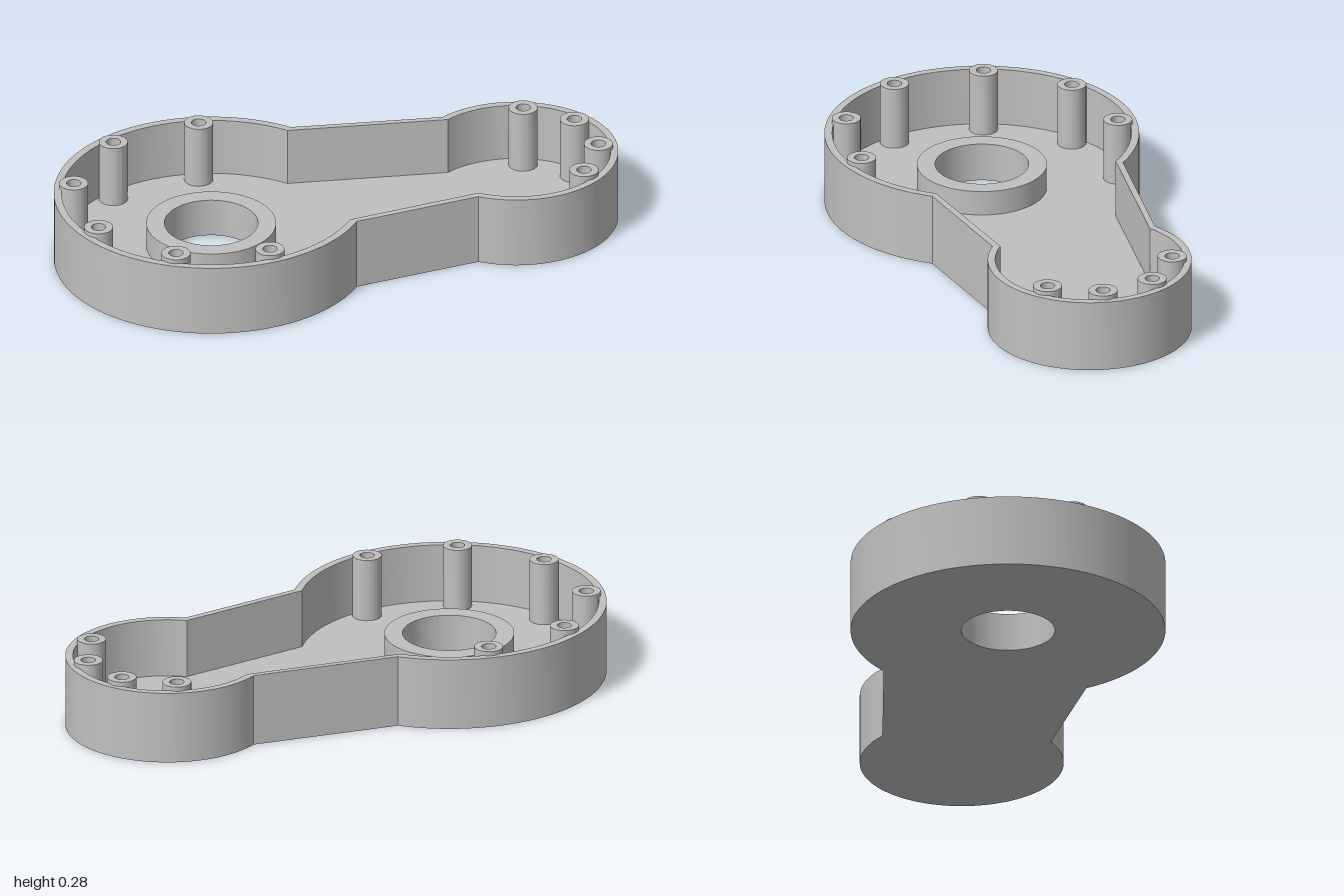
import * as THREE from 'three';
import { toCreasedNormals } from 'three/addons/utils/BufferGeometryUtils.js';

// Plan centres of the two lobes; shape y is the model's -z
const BIG = { x: -0.435, y: -0.1 };
const SMALL = { x: 0.63, y: 0.3 };
const HEIGHT = 0.267, FLOOR = 0.05, BOSS_TOP = 0.143, POST_TOP = 0.283;

// Two round lobes joined by straight flanks; the four points are the flank ends
function outline(path, rBig, rSmall, [bigTop, bigLow, smallLow, smallTop]) {
  const angle = (c, p) => Math.atan2(p[1] - c.y, p[0] - c.x);
  path.absarc(BIG.x, BIG.y, rBig, angle(BIG, bigTop), angle(BIG, bigLow) + Math.PI * 2, false);
  path.absarc(SMALL.x, SMALL.y, rSmall, angle(SMALL, smallLow), angle(SMALL, smallTop), false);
  path.closePath();
  return path;
}

const outer = (path) => outline(path, 0.565, 0.366,
  [[-0.19, 0.41], [0.1, -0.27], [0.525, -0.045], [0.345, 0.53]]);
const inner = (path) => outline(path, 0.537, 0.339,
  [[-0.2, 0.385], [0.077, -0.258], [0.522, -0.022], [0.366, 0.513]]);

function circle(path, x, y, r) {
  path.absarc(x, y, r, 0, Math.PI * 2, false);
  return path;
}

// Extrude a plan shape upwards from y0 to y1
function extrudeUp(shape, y0, y1, segments) {
  const geo = new THREE.ExtrudeGeometry(shape, {
    depth: y1 - y0, bevelEnabled: false, curveSegments: segments,
  });
  geo.rotateX(-Math.PI / 2).translate(0, y0, 0);
  return toCreasedNormals(geo, 0.4);
}

function ring(x, y, rOuter, rInner) {
  const shape = circle(new THREE.Shape(), x, y, rOuter);
  shape.holes.push(circle(new THREE.Path(), x, y, rInner));
  return shape;
}

export function createModel() {
  const group = new THREE.Group();
  const grey = new THREE.MeshStandardMaterial({ color: 0xc0c0c0 });
  grey.name = 'plain grey';

  const add = (name, geometry) => {
    const mesh = new THREE.Mesh(geometry, grey);
    mesh.name = name;
    group.add(mesh);
  };

  // Thin wall around the housing
  const wall = outer(new THREE.Shape());
  wall.holes.push(inner(new THREE.Path()));
  add('wall', extrudeUp(wall, 0, HEIGHT, 80));

  // Floor, open where the bearing boss sits
  const floor = inner(new THREE.Shape());
  floor.holes.push(circle(new THREE.Path(), BIG.x, BIG.y, 0.233));
  add('floor', extrudeUp(floor, 0, FLOOR, 80));

  // Raised boss with a through hole
  add('bearingBoss', extrudeUp(ring(BIG.x, BIG.y, 0.233, 0.168), 0, BOSS_TOP, 80));

  // Screw posts spaced along the inside of both lobes
  const posts = [
    [BIG, 0.495, [100, 140, 180, 220, 260, 300]],
    [SMALL, 0.296, [90, 50, 10, -30]],
  ];
  for (const [centre, radius, angles] of posts) {
    for (const degrees of angles) {
      const a = THREE.MathUtils.degToRad(degrees);
      const x = centre.x + radius * Math.cos(a), y = centre.y + radius * Math.sin(a);
      add('screwPost', extrudeUp(ring(x, y, 0.052, 0.026), FLOOR, POST_TOP, 32));
    }
  }
  return group;
}
